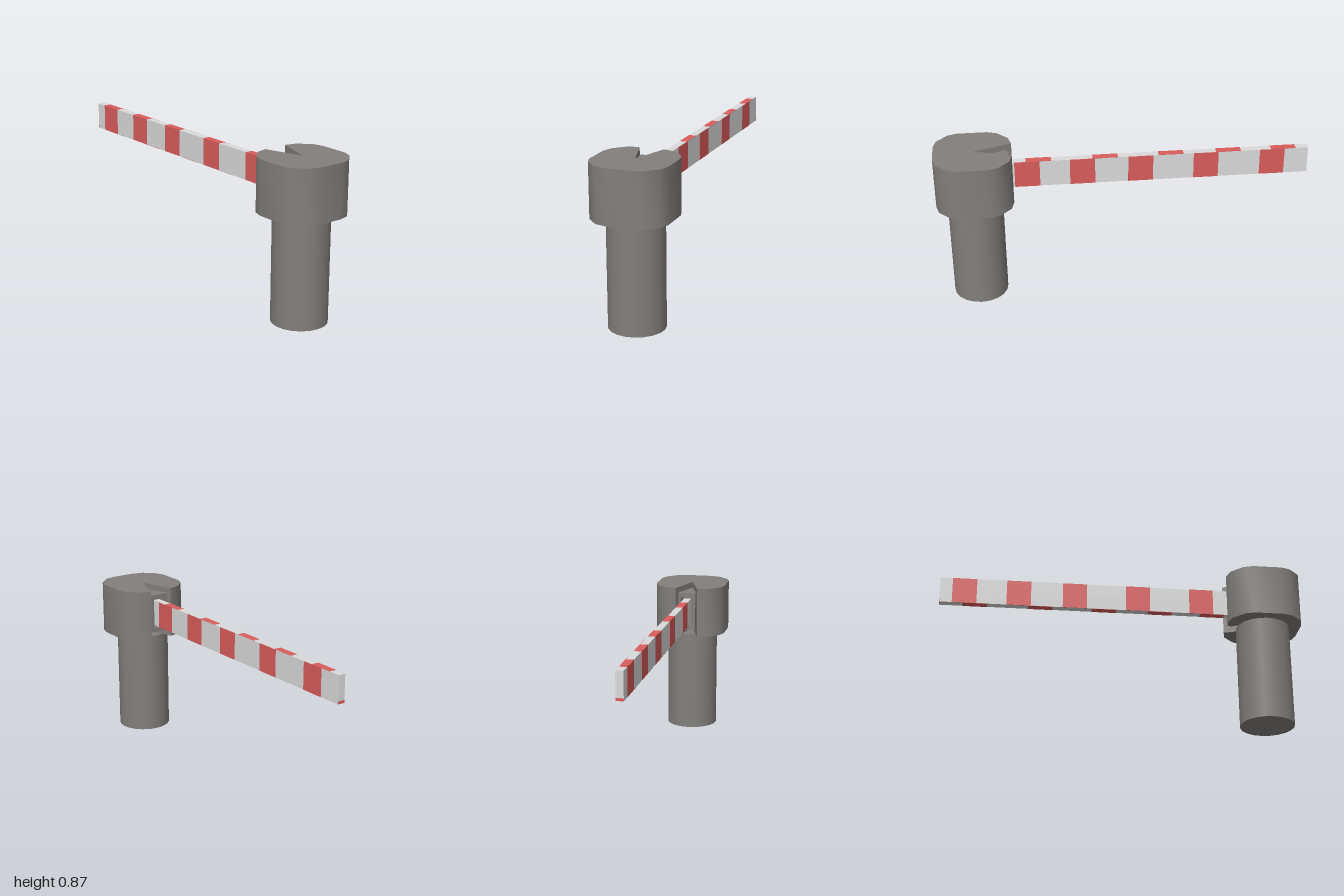
import * as THREE from 'three';
import { toCreasedNormals } from 'three/addons/utils/BufferGeometryUtils.js';

const grey = new THREE.MeshStandardMaterial({ color: 0x827f7c });
grey.name = 'housing grey';
const white = new THREE.MeshStandardMaterial({ color: 0xdadada });
white.name = 'boom white';
const red = new THREE.MeshStandardMaterial({ color: 0xda5c5c });
red.name = 'stripe red';

const CZ = 0.795; // z of the post axis

function add(parent, name, geometry, material, x = 0, y = 0, z = 0) {
  const mesh = new THREE.Mesh(geometry, material);
  mesh.name = name;
  mesh.position.set(x, y, z);
  parent.add(mesh);
  return mesh;
}

// Upright prism from a ground outline given as [x, z] points
function prism(points, y0, y1) {
  const shape = new THREE.Shape(points.map(([x, z]) => new THREE.Vector2(x, -z)));
  const g = new THREE.ExtrudeGeometry(shape, { depth: y1 - y0, bevelEnabled: false });
  g.rotateX(-Math.PI / 2);
  g.translate(0, y0, 0);
  return toCreasedNormals(g, 0.7);
}

export function createModel() {
  const model = new THREE.Group();
  model.name = 'barrierGate';

  // Round post
  add(model, 'post', new THREE.CylinderGeometry(0.148, 0.148, 0.58, 20), grey, 0, 0.29, CZ);

  // Rounded-square head with a V notch at the back
  const half = [[0.065, 0.588], [0.127, 0.603], [0.187, 0.663], [0.204, 0.715],
    [0.204, 0.875], [0.187, 0.925], [0.127, 0.985], [0.068, 1.0]];
  const mirrored = half.map(([x, z]) => [-x, z]).reverse();
  add(model, 'head', prism([...half, ...mirrored, [0, 0.79]], 0.58, 0.867), grey);

  // Pivot block set into the notch: socket frame and the wedge behind it
  const socket = new THREE.Group();
  socket.name = 'boomSocket';
  model.add(socket);
  const rect = (path, w, y0, y1) => {
    path.moveTo(-w, y0);
    path.lineTo(w, y0);
    path.lineTo(w, y1);
    path.lineTo(-w, y1);
    path.closePath();
    return path;
  };
  const frame = rect(new THREE.Shape(), 0.05, 0.615, 0.835);
  frame.holes.push(rect(new THREE.Path(), 0.034, 0.638, 0.812));
  add(socket, 'socketFrame',
    new THREE.ExtrudeGeometry(frame, { depth: 0.03, bevelEnabled: false }), grey, 0, 0, 0.608);
  add(socket, 'socketWedge',
    prism([[0.046, 0.638], [-0.046, 0.638], [0, 0.775]], 0.615, 0.835), grey);

  // Boom arm
  const boom = new THREE.Group();
  boom.name = 'boom';
  model.add(boom);
  const W = 0.04, Y0 = 0.65, Y1 = 0.798, T = 0.002;
  const H = Y1 - Y0, YM = (Y0 + Y1) / 2;
  add(boom, 'boomArm', new THREE.BoxGeometry(W, H, 1.65), white, 0, YM, -0.175);

  // Painted stripes, staggered between opposite faces
  const L = 0.134;
  const sideA = [0.511, 0.217, -0.094, -0.446, -0.805];
  const sideB = [0.45, 0.095, -0.257, -0.567, -0.865];
  const sidePlate = new THREE.BoxGeometry(T, H, L);
  const flatPlate = new THREE.BoxGeometry(W, T, L);
  for (const z of sideA) {
    add(boom, 'leftStripe', sidePlate, red, W / 2, YM, z);
    add(boom, 'bottomStripe', flatPlate, red, 0, Y0, z);
  }
  for (const z of sideB) {
    add(boom, 'rightStripe', sidePlate, red, -W / 2, YM, z);
    add(boom, 'topStripe', flatPlate, red, 0, Y1, z);
  }
  add(boom, 'tipStripe', new THREE.BoxGeometry(W, 0.015, T), red, 0, Y0 + 0.0075, -0.9995);

  return model;
}
